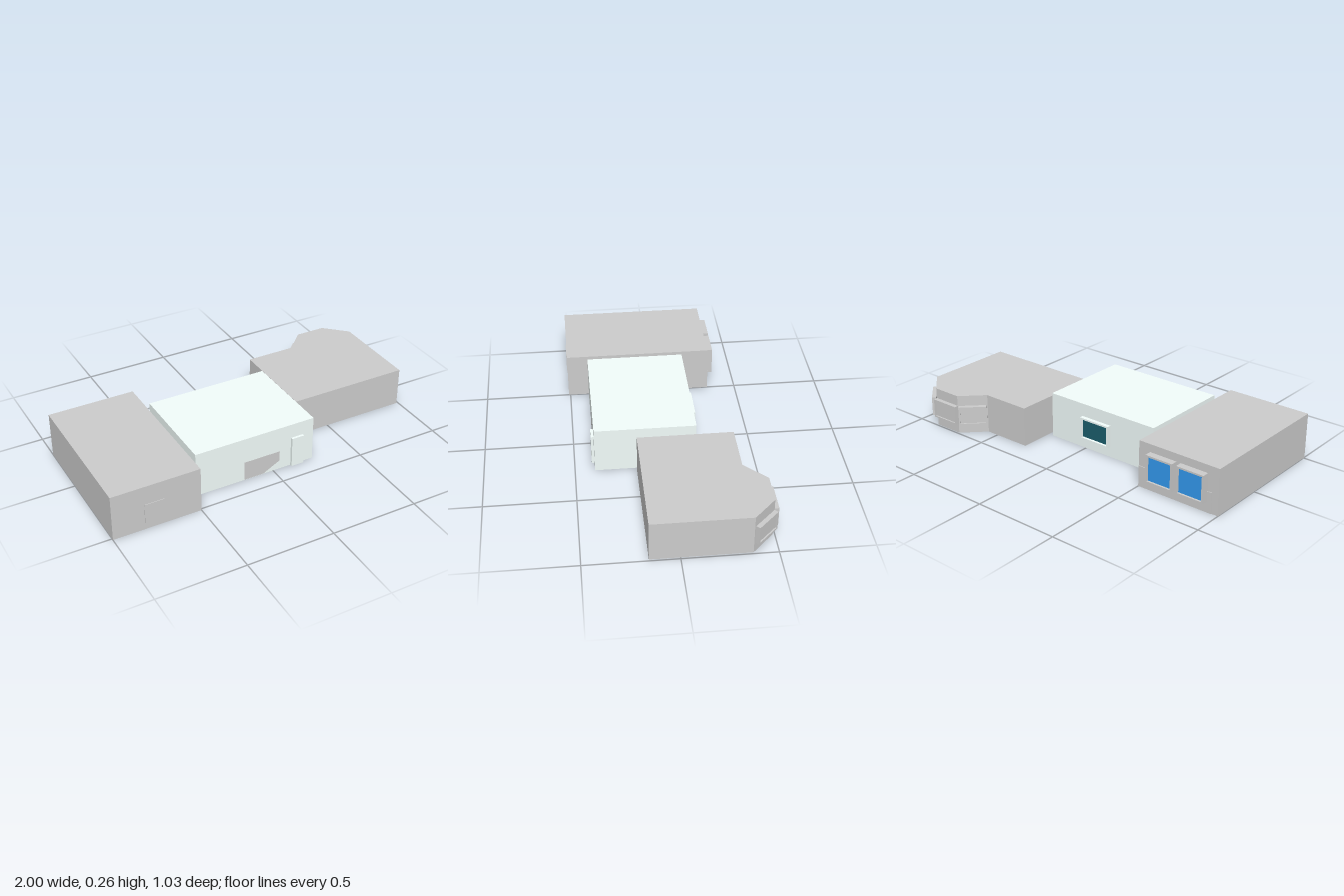
import * as THREE from 'three';

const mat = (color) => new THREE.MeshStandardMaterial({ color });
const grey = mat(0xcccccc), pale = mat(0xf2fdfb), blue = mat(0x3399ee), teal = mat(0x1a5c6a);

// Box given by its extents on each axis
function box(name, x0, x1, y0, y1, z0, z1, material = grey) {
  const mesh = new THREE.Mesh(new THREE.BoxGeometry(x1 - x0, y1 - y0, z1 - z0), material);
  mesh.position.set((x0 + x1) / 2, (y0 + y1) / 2, (z0 + z1) / 2);
  mesh.name = name;
  return mesh;
}

// Window with a projecting frame and recessed pane, facing local +z from the wall at z = 0
function makeWindow(name, w, h, depth, bar, frameMat, paneMat, recess) {
  const g = new THREE.Group();
  g.name = name;
  const shape = new THREE.Shape();
  shape.moveTo(-w / 2, -h / 2).lineTo(w / 2, -h / 2).lineTo(w / 2, h / 2).lineTo(-w / 2, h / 2).closePath();
  const a = w / 2 - bar, b = h / 2 - bar;
  const hole = new THREE.Path();
  hole.moveTo(-a, -b).lineTo(-a, b).lineTo(a, b).lineTo(a, -b).closePath();
  shape.holes.push(hole);
  const frame = new THREE.Mesh(new THREE.ExtrudeGeometry(shape, { depth, bevelEnabled: false }), frameMat);
  frame.name = name + 'Frame';
  g.add(frame, box(name + 'Pane', -a, a, -b, b, 0, depth - recess, paneMat));
  return g;
}

// Upright prism from a floor outline in x and z
function prism(name, points, height) {
  const shape = new THREE.Shape(points.map(([x, z]) => new THREE.Vector2(x, -z)));
  const geo = new THREE.ExtrudeGeometry(shape, { depth: height, bevelEnabled: false });
  geo.rotateX(-Math.PI / 2);
  const mesh = new THREE.Mesh(geo, grey);
  mesh.name = name;
  return mesh;
}

export function createModel() {
  const model = new THREE.Group();
  model.name = 'roomBlocks';

  // Long room with its front door and rear panel
  model.add(
    box('longRoom', -1, -0.5, 0, 0.265, -0.33, 0.51),
    box('longRoomDoor', -0.82, -0.71, 0.04, 0.155, 0.5, 0.514),
    box('longRoomRearPanel', -0.96, -0.5, 0.0, 0.12, -0.334, -0.32)
  );
  for (const x of [-0.848, -0.655]) {
    const win = makeWindow('longRoomWindow', 0.167, 0.16, 0.04, 0.01, grey, blue, 0.012);
    win.position.set(x, 0.14, -0.33);
    win.rotation.y = Math.PI;
    model.add(win);
  }

  // Middle room with entrance door and rear window
  model.add(
    box('middleRoom', -0.47, 0.25, 0, 0.265, -0.17, 0.39, pale),
    box('entranceDoor', 0.11, 0.185, 0, 0.18, 0.38, 0.405, pale)
  );
  const rear = makeWindow('middleRoomWindow', 0.2, 0.13, 0.023, 0.01, pale, teal, 0.015);
  rear.position.set(-0.075, 0.125, -0.17);
  rear.rotation.y = Math.PI;
  model.add(rear);

  // Flat front panel with a clipped lower corner
  const panelShape = new THREE.Shape();
  panelShape.moveTo(-0.18, 0.002).lineTo(-0.06, 0.002).lineTo(0.04, 0.055).lineTo(0.04, 0.115).lineTo(-0.18, 0.115).closePath();
  const panel = new THREE.Mesh(new THREE.ShapeGeometry(panelShape), grey);
  panel.name = 'frontPanel';
  panel.position.z = 0.391;
  model.add(panel);

  // Passages joining the rooms
  model.add(
    box('rightPassage', -0.51, -0.46, 0, 0.175, 0, 0.09, pale),
    box('leftPassage', 0.24, 0.29, 0, 0.175, 0.02, 0.105)
  );

  // Room with a bay at the back
  model.add(prism('bayRoom', [
    [0.28, 0.16], [0.99, 0.16], [0.99, -0.37], [0.865, -0.49],
    [0.69, -0.49], [0.57, -0.37], [0.28, -0.37]
  ], 0.23));
  const bays = [[0.775, -0.49, Math.PI, 0.175], [0.628, -0.432, -Math.PI * 0.75, 0.16], [0.929, -0.432, Math.PI * 0.75, 0.16]];
  for (const [x, z, turn, w] of bays) {
    const win = makeWindow('bayWindow', w, 0.11, 0.025, 0.008, grey, grey, 0.008);
    win.position.set(x, 0.115, z);
    win.rotation.y = turn;
    model.add(win);
  }
  return model;
}
